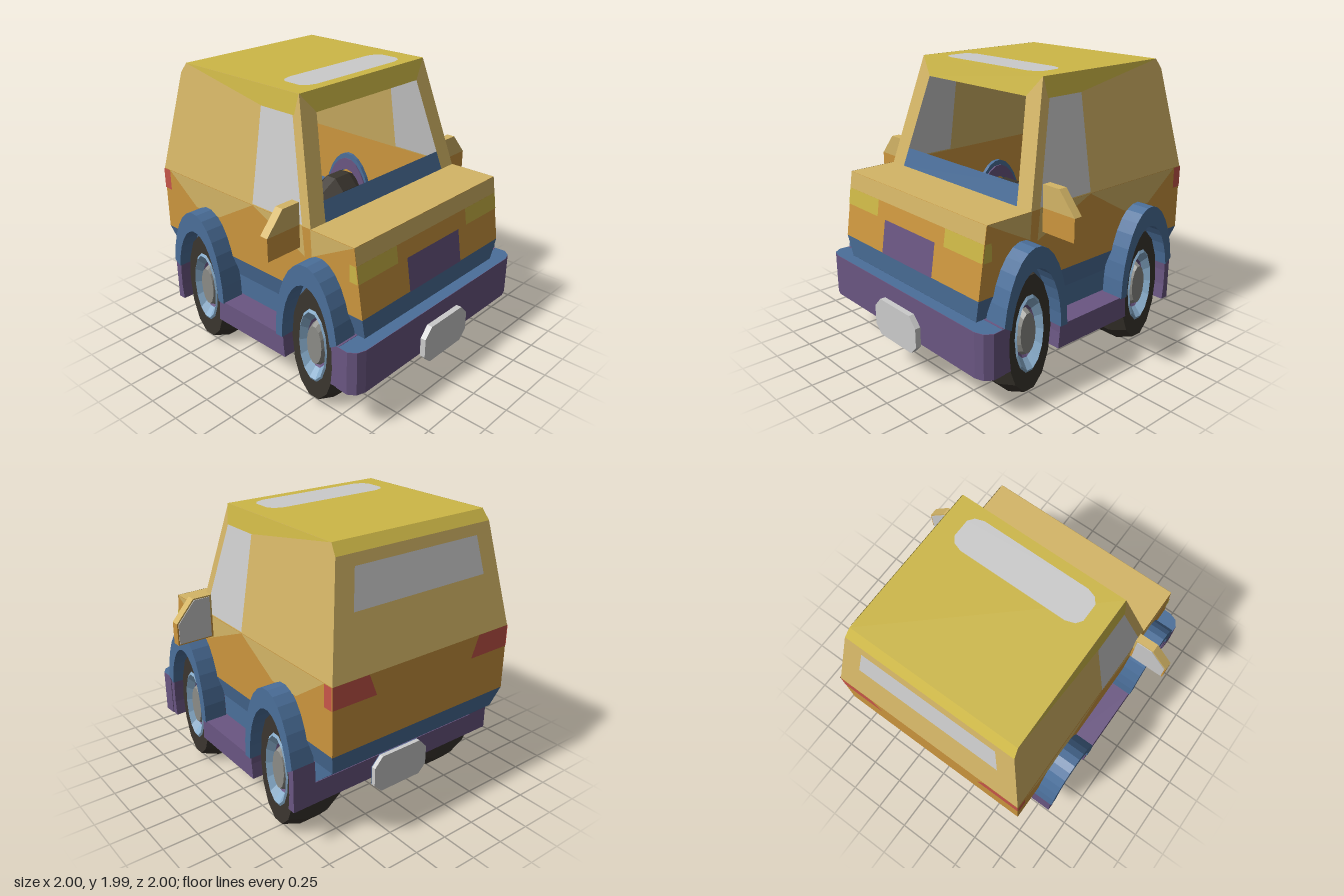
import * as THREE from 'three';

const COLORS = {
  grey: 0xcccccc, yellow: 0xcdb746, tan: 0xd4b566, orange: 0xcc963e, blue: 0x4b6f9a,
  purple: 0x6a5682, tyre: 0x3b362f, red: 0xc8564a, rim: 0x88adcc, hub: 0x8c8c87,
};
const mats = {};
for (const k in COLORS) {
  mats[k] = new THREE.MeshStandardMaterial({ color: COLORS[k], flatShading: true, side: THREE.DoubleSide });
}

function add(parent, name, color, geo) {
  const mesh = new THREE.Mesh(geo, mats[color]);
  mesh.name = name;
  parent.add(mesh);
  return mesh;
}

// Flat convex panel from corner points
function panel(parent, name, color, pts) {
  const pos = [];
  for (let i = 1; i < pts.length - 1; i++) pos.push(...pts[0], ...pts[i], ...pts[i + 1]);
  const geo = new THREE.BufferGeometry();
  geo.setAttribute('position', new THREE.Float32BufferAttribute(pos, 3));
  geo.computeVertexNormals();
  return add(parent, name, color, geo);
}

function extrude(pts, depth) {
  const shape = new THREE.Shape(pts.map(p => new THREE.Vector2(p[0], p[1])));
  return new THREE.ExtrudeGeometry(shape, { depth, bevelEnabled: false });
}

// Points along an ellipse centred on a wheel
const AXLE_Y = 0.465;
function arc(cx, rx, ry, a0, a1, n) {
  return Array.from({ length: n + 1 }, (_, i) => {
    const a = THREE.MathUtils.degToRad(a0 + (a1 - a0) * i / n);
    return [cx + rx * Math.cos(a), AXLE_Y + ry * Math.sin(a)];
  });
}

// Slopes of the cabin, windscreen, nose and tailgate
const sideZ = y => 0.73 - 0.13 * (y - 1.23) / 0.77;
const screenX = y => 0.47 - 0.21 * (y - 1.23) / 0.77;
const noseX = y => 0.82 + 0.07 * (1.23 - y) / 0.46;
const tailX = y => -1 + 0.13 * (y - 1.23) / 0.7;

function addWheel(side, cx) {
  const wheel = new THREE.Group();
  wheel.name = 'wheel';
  const ring = (name, color, profile) => {
    const geo = new THREE.LatheGeometry(profile.map(p => new THREE.Vector2(...p)), 14, Math.PI / 14);
    add(wheel, name, color, geo.rotateX(Math.PI / 2));
  };
  ring('tyre', 'tyre', [[0, 0.335], [0.36, 0.335], [0.465, 0.5], [0.465, 0.66], [0.405, 0.8], [0.27, 0.8]]);
  ring('rim', 'rim', [[0.27, 0.8], [0.25, 0.81], [0.185, 0.76]]);
  ring('rimInset', 'purple', [[0.185, 0.76], [0.15, 0.74]]);
  ring('hub', 'hub', [[0.17, 0.74], [0.14, 0.79], [0, 0.79]]);
  wheel.scale.x = 0.455;
  wheel.position.set(cx, AXLE_Y, 0);
  side.add(wheel);
}

function buildSide() {
  const side = new THREE.Group();
  side.name = 'side';
  const out = (x, y, d = 0) => [x, y, sideZ(y) + d];
  // Upper cabin wall and roof edge
  panel(side, 'cabinSide', 'tan', [out(-1, 1.23), out(-0.87, 1.93), out(-0.82, 2), out(0.26, 2), out(0.47, 1.23)]);
  panel(side, 'roofEdge', 'yellow', [out(-0.82, 2, 0.003), out(-0.05, 1.87, 0.003), out(0.24, 1.87, 0.003), out(0.26, 2, 0.003)]);
  for (const d of [0.005, -0.005]) {
    panel(side, 'sideWindow', 'grey', [out(-0.05, 1.24, d), out(-0.05, 1.87, d), out(0.23, 1.87, d), out(0.4, 1.24, d)]);
  }
  // Tan wedges under the waistline
  panel(side, 'waistWedgeRear', 'tan', [[-0.93, 1.23, 0.734], [-0.05, 1.23, 0.734], [-0.4, 1.03, 0.734], [-0.65, 1.03, 0.734]]);
  panel(side, 'waistWedgeFront', 'tan', [[-0.05, 1.23, 0.734], [0.4, 1.23, 0.734], [0.42, 1.03, 0.734]]);
  panel(side, 'waistWedgeNose', 'tan', [[0.47, 1.23, 0.734], [0.82, 1.23, 0.734], [0.48, 1.05, 0.734]]);
  // Lamps wrapping round the corners
  panel(side, 'tailLampSide', 'red', [[-1, 1.23, 0.736], [-0.93, 1.23, 0.736], [-0.93, 1.08, 0.736], [-1, 1.08, 0.736]]);
  panel(side, 'tailLampBack', 'red', [[-1.002, 1.23, 0.73], [-1.002, 1.23, 0.46], [-1.002, 1.08, 0.4], [-1.002, 1.08, 0.73]]);
  panel(side, 'headlampSide', 'yellow', [[0.79, 1.115, 0.736], [noseX(1.115), 1.115, 0.736], [noseX(1), 1, 0.736], [0.79, 1, 0.736]]);
  panel(side, 'headlamp', 'yellow', [[1.115, 0.365], [1.115, 0.73], [1, 0.73], [1, 0.365]].map(([y, z]) => [noseX(y) + 0.004, y, z]));
  // Windscreen pillar
  panel(side, 'windscreenPillar', 'tan', [[1.23, 0.73], [2, 0.6], [1.87, 0.49], [1.23, 0.6]].map(([y, z]) => [screenX(y), y, z]));
  // Lower frame with wheel cutouts
  const cut = cx => arc(cx, 0.215, 0.465, 199.5, -19.5, 16);
  add(side, 'sideFrame', 'purple', extrude([
    [-0.78, 0.31], ...cut(-0.52), ...cut(0.545), [0.82, 0.31], [0.82, 0.62], [0.79, 0.62],
    ...arc(0.545, 0.255, 0.56, 16, 180, 12), [0.28, 0.47],
    [-0.25, 0.47], ...arc(-0.52, 0.255, 0.56, 0, 164, 12), [-0.78, 0.62],
  ], 0.165).translate(0, 0, 0.69));
  for (const cx of [-0.52, 0.545]) {
    const [a0, a1] = cx < 0 ? [0, 165] : [15, 180];
    add(side, 'wheelArch', 'blue', extrude([
      ...arc(cx, 0.27, 0.6, a0, a1, 14), ...arc(cx, 0.213, 0.46, a1, a0, 14),
    ], 0.165).translate(0, 0, 0.7));
    panel(side, 'wheelWell', 'blue', arc(cx, 0.22, 0.47, -10, 190, 14).map(p => [...p, 0.738]));
    addWheel(side, cx);
  }
  // Door mirror: profile in z and y, thickness along x
  const mirror = new THREE.Group();
  mirror.name = 'doorMirror';
  const slab = (name, color, pts, x, depth) =>
    add(mirror, name, color, extrude(pts.map(([z, y]) => [-z, y]), depth).rotateY(Math.PI / 2).translate(x, 0, 0));
  const top = [[0.735, 1.235], [0.735, 1.385], [0.87, 1.385], [1, 1.235]];
  const base = [[0.735, 1.08], [0.735, 1.235], [1, 1.235], [1, 1.08]];
  slab('mirrorTop', 'tan', top, 0.32, 0.06);
  slab('mirrorBase', 'orange', base, 0.32, 0.06);
  slab('mirrorGlass', 'grey', [[0.75, 1.09], [0.75, 1.375], [0.865, 1.375], [0.99, 1.23], [0.99, 1.09]], 0.315, 0.005);
  side.add(mirror);
  return side;
}

export function createModel() {
  const car = new THREE.Group();
  car.name = 'car';

  // Lower body walls between stacked sections: y, rear x, front x, half width
  const sections = [[0.47, -0.78, 0.82, 0.69], [0.62, -0.95, 0.877, 0.69], [0.77, -1, 0.89, 0.73], [1.23, -1, 0.82, 0.73]];
  for (let i = 0; i < 3; i++) {
    const corners = ([y, r, f, z]) => [[r, y, z], [f, y, z], [f, y, -z], [r, y, -z]];
    const a = corners(sections[i]), b = corners(sections[i + 1]);
    for (let k = 0; k < 4; k++) {
      const n = (k + 1) % 4;
      panel(car, i < 2 ? 'lowerSkirt' : 'bodyWall', i < 2 ? 'blue' : 'orange', [a[k], a[n], b[n], b[k]]);
    }
  }
  add(car, 'floor', 'purple', new THREE.BoxGeometry(1.6, 0.155, 1.4).translate(0.02, 0.3875, 0));

  // Symmetric strip across the car: two [x, y, half width] edges
  const strip = (name, color, [x0, y0, z0], [x1, y1, z1]) =>
    panel(car, name, color, [[x0, y0, z0], [x1, y1, z1], [x1, y1, -z1], [x0, y0, -z0]]);
  strip('bonnet', 'tan', [0.47, 1.23, 0.73], [0.82, 1.23, 0.73]);
  strip('noseBand', 'tan', [0.823, 1.23, 0.73], [noseX(1.115) + 0.003, 1.115, 0.73]);
  strip('grille', 'purple', [noseX(1) + 0.004, 1, 0.275], [noseX(0.77) + 0.004, 0.77, 0.275]);
  strip('windscreenTrim', 'blue', [0.47, 1.23, 0.6], [screenX(1.36), 1.36, 0.58]);
  strip('windscreenHeader', 'yellow', [screenX(1.87), 1.87, 0.49], [0.26, 2, 0.6]);
  strip('roof', 'yellow', [0.26, 2, 0.6], [-0.82, 2, 0.6]);
  strip('roofRearEdge', 'yellow', [-0.82, 2, 0.6], [-0.87, 1.93, sideZ(1.93)]);
  strip('tailgate', 'tan', [-0.87, 1.93, sideZ(1.93)], [-1, 1.23, 0.73]);
  for (const d of [-0.005, 0.005]) {
    strip('rearWindow', 'grey', [tailX(1.86) + d, 1.86, 0.49], [tailX(1.61) + d, 1.61, 0.53]);
  }
  // Skylight with clipped corners
  const quarter = [[0.19, 0.38], [0.17, 0.44], [0.13, 0.47], [0.005, 0.47], [-0.035, 0.44], [-0.055, 0.38]];
  panel(car, 'skylight', 'grey', [...quarter, ...quarter.map(([x, z]) => [x, -z]).reverse()].map(([x, z]) => [x, 2.002, z]));

  // Front bumper with clipped corners and coloured top
  const half = [[0.8, 0.86], [0.89, 0.865], [0.94, 0.83], [0.96, 0.77]];
  const plan = [...half, ...half.map(([x, z]) => [x, -z]).reverse()];
  add(car, 'frontBumper', 'purple', extrude(plan, 0.305).rotateX(-Math.PI / 2).translate(0, 0.31, 0));
  panel(car, 'bumperTop', 'blue', plan.map(([x, z]) => [x, 0.618, z]));

  // Number plates
  const plate = (name, color, x, y0, depth) => {
    const y1 = y0 + 0.265;
    add(car, name, color, extrude([
      [-0.23, y0 + 0.06], [-0.17, y0], [0.17, y0], [0.23, y0 + 0.06],
      [0.23, y1 - 0.07], [0.165, y1], [-0.165, y1], [-0.23, y1 - 0.07],
    ], depth).rotateY(Math.PI / 2).translate(x, 0, 0));
  };
  plate('frontPlate', 'grey', 0.96, 0.237, 0.04);
  plate('rearPlate', 'grey', -0.815, 0.2, 0.03);
  plate('rearPlateBacking', 'blue', -0.785, 0.2, 0.005);

  // Left and right sides
  const side = buildSide();
  const mirrored = side.clone();
  mirrored.scale.z = -1;
  car.add(side, mirrored);
  return car;
}
